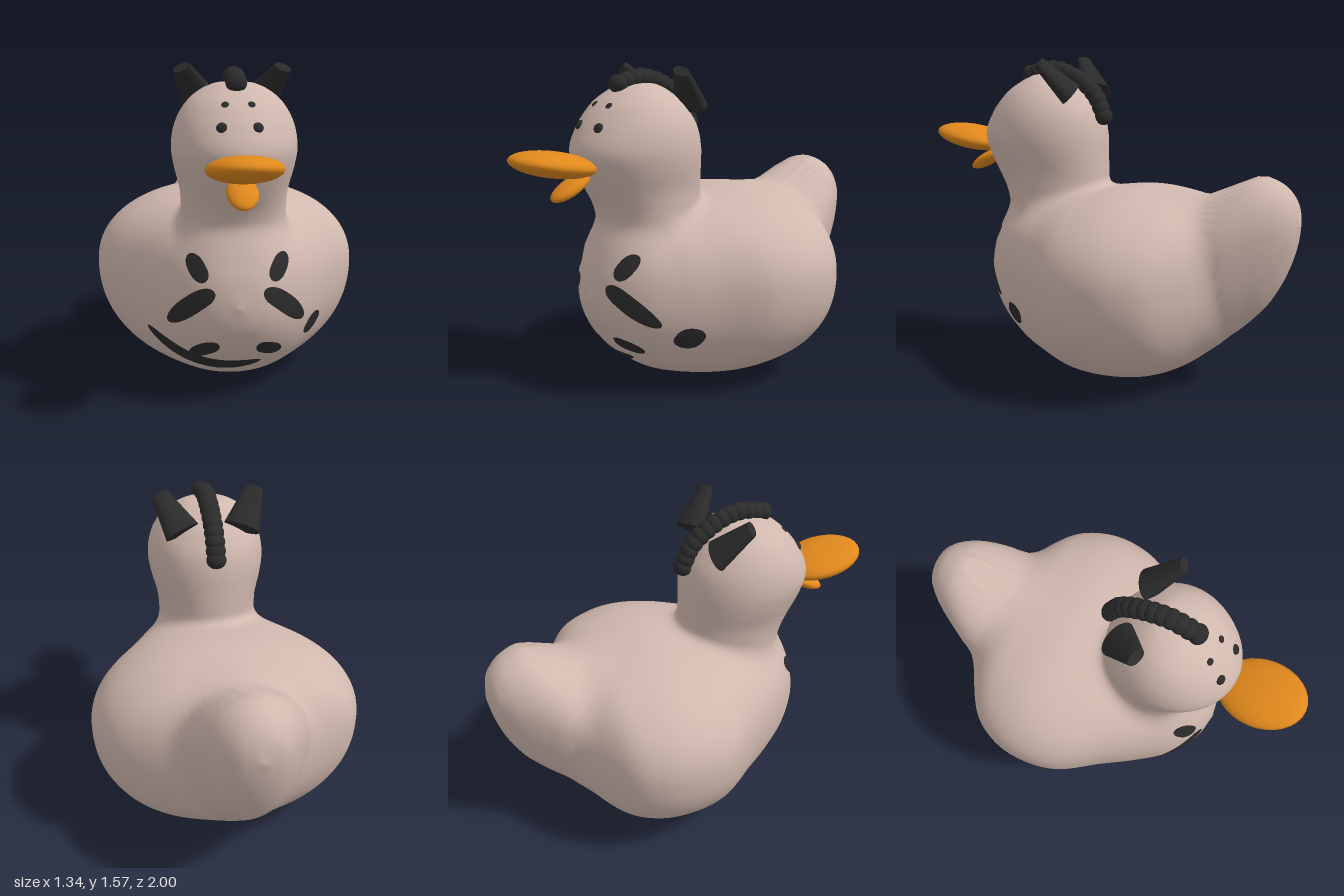
import * as THREE from 'three';

const skin = new THREE.MeshStandardMaterial({ color: 0xd0b8ae });
skin.name = 'beige skin';
const dark = new THREE.MeshStandardMaterial({ color: 0x2b2b2b, side: THREE.DoubleSide });
dark.name = 'charcoal';
const orange = new THREE.MeshStandardMaterial({ color: 0xe0881c });
orange.name = 'bill orange';

// Smooth field around an axis; rows are [position, half width, low, middle, high]
function loft(rows, power) {
  const curve = new THREE.CubicInterpolant(rows.map(r => r[0]), rows.flatMap(r => r.slice(1)), 4);
  const first = rows[0][0], last = rows[rows.length - 1][0];
  return (t, x, s) => {
    const c = THREE.MathUtils.clamp(t, first, last);
    const [w0, low, mid, high] = curve.evaluate(c);
    const w = Math.max(w0, 0.004);
    const h = Math.max(s > mid ? high - mid : mid - low, 0.004);
    const r = Math.pow(Math.pow(Math.abs(x) / w, power) + Math.pow(Math.abs(s - mid) / h, power), 1 / power);
    const size = (w + Math.max(high - low, 0.008) / 2) / 2;
    return (r - 1) * size + Math.abs(t - c);
  };
}

// Belly and wings, along z
const trunk = loft([
  [-0.74, 0, 0.52, 0.55, 0.58], [-0.72, 0.1, 0.42, 0.55, 0.66], [-0.66, 0.27, 0.28, 0.55, 0.78],
  [-0.58, 0.42, 0.18, 0.54, 0.86], [-0.48, 0.565, 0.09, 0.54, 0.91], [-0.36, 0.64, 0.035, 0.54, 0.935],
  [-0.2, 0.668, 0.006, 0.54, 0.95], [0, 0.628, 0.005, 0.53, 0.93], [0.2, 0.49, 0.04, 0.52, 0.9],
  [0.35, 0.39, 0.1, 0.51, 0.87], [0.5, 0.27, 0.225, 0.5, 0.81], [0.57, 0.175, 0.325, 0.49, 0.7],
  [0.605, 0.09, 0.405, 0.49, 0.59], [0.62, 0, 0.485, 0.49, 0.495]], 2.15);
// Upturned tail, along z
const tail = loft([
  [-1, 0, 0.81, 0.82, 0.83], [-0.98, 0.085, 0.7, 0.82, 0.91], [-0.94, 0.14, 0.575, 0.81, 0.975],
  [-0.87, 0.195, 0.44, 0.79, 1.02], [-0.8, 0.235, 0.355, 0.76, 1.035], [-0.7, 0.285, 0.26, 0.7, 0.995],
  [-0.6, 0.31, 0.19, 0.65, 0.945], [-0.45, 0.32, 0.13, 0.6, 0.91], [-0.2, 0.28, 0.12, 0.55, 0.85],
  [0, 0.15, 0.3, 0.5, 0.6]], 2);
// Head and neck, along y
const head = loft([
  [0.5, 0.18, 0.08, 0.3, 0.46], [0.7, 0.23, 0.03, 0.3, 0.53], [0.84, 0.248, 0.005, 0.3, 0.52],
  [0.92, 0.249, 0.005, 0.3, 0.545], [1, 0.255, 0.007, 0.31, 0.59], [1.1, 0.28, 0.013, 0.32, 0.64],
  [1.19, 0.293, 0.018, 0.33, 0.662], [1.29, 0.28, 0.042, 0.33, 0.62], [1.36, 0.25, 0.085, 0.33, 0.57],
  [1.41, 0.213, 0.127, 0.33, 0.522], [1.45, 0.165, 0.18, 0.32, 0.465], [1.475, 0.115, 0.22, 0.32, 0.42],
  [1.488, 0.065, 0.26, 0.32, 0.38], [1.493, 0, 0.318, 0.32, 0.322]], 2);

function blend(a, b, k) {
  const h = Math.max(k - Math.abs(a - b), 0) / k;
  return Math.min(a, b) - h * h * k / 4;
}
const field = p => blend(
  blend(trunk(p.z, p.x, p.y), tail(p.z, p.x, p.y), 0.08), head(p.y, p.x, p.z), 0.07);

function normalAt(p) {
  const e = 0.006, n = new THREE.Vector3();
  for (const axis of ['x', 'y', 'z']) {
    const a = p.clone(), b = p.clone();
    a[axis] += e;
    b[axis] -= e;
    n[axis] = field(a) - field(b);
  }
  return n.normalize();
}

// First place along a ray where the field changes sign
function crossing(origin, dir) {
  const at = t => origin.clone().addScaledVector(dir, t);
  const inside = field(origin) < 0;
  let a = 0, b = 0.02;
  while (b < 1.5 && (field(at(b)) < 0) === inside) { a = b; b += 0.02; }
  for (let i = 0; i < 16; i++) {
    const m = (a + b) / 2;
    if ((field(at(m)) < 0) === inside) a = m; else b = m;
  }
  return at(b);
}
const frontPoint = (x, y) => crossing(new THREE.Vector3(x, y, 0.8), new THREE.Vector3(0, 0, -1));

function bodyGeometry() {
  const geo = new THREE.SphereGeometry(1, 180, 140);
  const pos = geo.attributes.position, nor = geo.attributes.normal;
  const centre = new THREE.Vector3(0, 0.58, 0.1);
  for (let i = 0; i < pos.count; i++) {
    const p = crossing(centre, new THREE.Vector3().fromBufferAttribute(pos, i).normalize());
    const n = normalAt(p);
    pos.setXYZ(i, p.x, p.y, p.z);
    nor.setXYZ(i, n.x, n.y, n.z);
  }
  return geo;
}

// Rounded brush stroke laid on the chest
function patchGeometry([x0, y0, cx, cy, x1, y1, r]) {
  const path = new THREE.QuadraticBezierCurve(
    new THREE.Vector2(x0, y0), new THREE.Vector2(cx, cy), new THREE.Vector2(x1, y1));
  const geo = new THREE.PlaneGeometry(1, 1, 32, 8);
  const pos = geo.attributes.position, nor = geo.attributes.normal;
  for (let i = 0; i < pos.count; i++) {
    const s = Math.sin(pos.getX(i) * Math.PI);
    const c = path.getPoint((s + 1) / 2), d = path.getTangent((s + 1) / 2);
    const w = 2 * r * pos.getY(i) * Math.sqrt(Math.max(0, 1 - Math.pow(Math.abs(s), 2.6)));
    const p = frontPoint(c.x - d.y * w, c.y + d.x * w);
    const n = normalAt(p);
    p.addScaledVector(n, 0.004);
    pos.setXYZ(i, p.x, p.y, p.z);
    nor.setXYZ(i, n.x, n.y, n.z);
  }
  return geo;
}

export function createModel() {
  const model = new THREE.Group();
  model.name = 'duck';
  const add = (name, geo, mat, parent = model) => {
    const mesh = new THREE.Mesh(geo, mat);
    mesh.name = name;
    parent.add(mesh);
    return mesh;
  };
  const ball = new THREE.SphereGeometry(1, 32, 24);

  add('body', bodyGeometry(), skin);

  // Bill
  const upper = add('upperBill', ball, orange);
  upper.scale.set(0.167, 0.06, 0.212);
  upper.position.set(0, 1.15, 0.79);
  upper.rotation.x = -0.17;
  const lower = add('lowerBill', ball, orange);
  lower.scale.set(0.07, 0.034, 0.11);
  lower.position.set(0, 1.036, 0.705);
  lower.rotation.x = 0.5;

  // Chest markings
  [
    [-0.212, 0.725, -0.19, 0.66, -0.15, 0.61, 0.04], [0.212, 0.725, 0.19, 0.66, 0.15, 0.61, 0.04],
    [-0.11, 0.565, -0.2, 0.53, -0.315, 0.39, 0.042], [0.11, 0.565, 0.2, 0.53, 0.315, 0.39, 0.042],
    [0.412, 0.38, 0.385, 0.33, 0.342, 0.28, 0.036], [0.085, 0.29, 0.14, 0.275, 0.21, 0.245, 0.035],
    [-0.085, 0.295, -0.15, 0.29, -0.215, 0.22, 0.036], [-0.41, 0.32, -0.176, 0.115, 0.115, 0.195, 0.034]
  ].forEach(stroke => add('chestMarking', patchGeometry(stroke), dark));

  // Eyes and brow dots
  for (const side of [-1, 1]) {
    for (const [name, x, y, r, depth] of [['eye', 0.08, 1.306, 0.024, 0.014], ['browDot', 0.059, 1.4, 0.017, 0.005]]) {
      const dot = add(name, ball, dark);
      const p = frontPoint(side * x, y);
      dot.position.copy(p);
      dot.lookAt(p.clone().add(normalAt(p)));
      dot.scale.set(r, r, depth);
    }
  }

  // Flattened, tapered horns
  const along = new THREE.Vector3(0.085, 0.145, 0.12).normalize();
  const across = new THREE.Vector3(0.137, -0.09, -0.085);
  across.addScaledVector(along, -across.dot(along)).normalize();
  const hornGeo = new THREE.CylinderGeometry(0.044, 0.09, 0.22, 32);
  hornGeo.scale(1, 1, 0.6);
  hornGeo.applyMatrix4(new THREE.Matrix4().makeBasis(across, along, across.clone().cross(along)));
  hornGeo.translate(0.192, 1.475, 0.185);
  for (const side of [1, -1]) {
    const horn = add(side > 0 ? 'leftHorn' : 'rightHorn', hornGeo, dark);
    horn.scale.x = side;
  }

  // Beaded crest over the head
  const crest = new THREE.Group();
  crest.name = 'crest';
  model.add(crest);
  const ridge = new THREE.CatmullRomCurve3([
    [1.49, 0.432], [1.515, 0.3], [1.468, 0.16], [1.385, 0.06], [1.285, 0.015]
  ].map(([y, z]) => new THREE.Vector3(0, y, z)));
  for (const p of ridge.getSpacedPoints(12)) {
    const bead = add('crestBead', ball, dark, crest);
    bead.position.copy(p);
    bead.scale.set(0.049, 0.044, 0.044);
  }
  return model;
}
